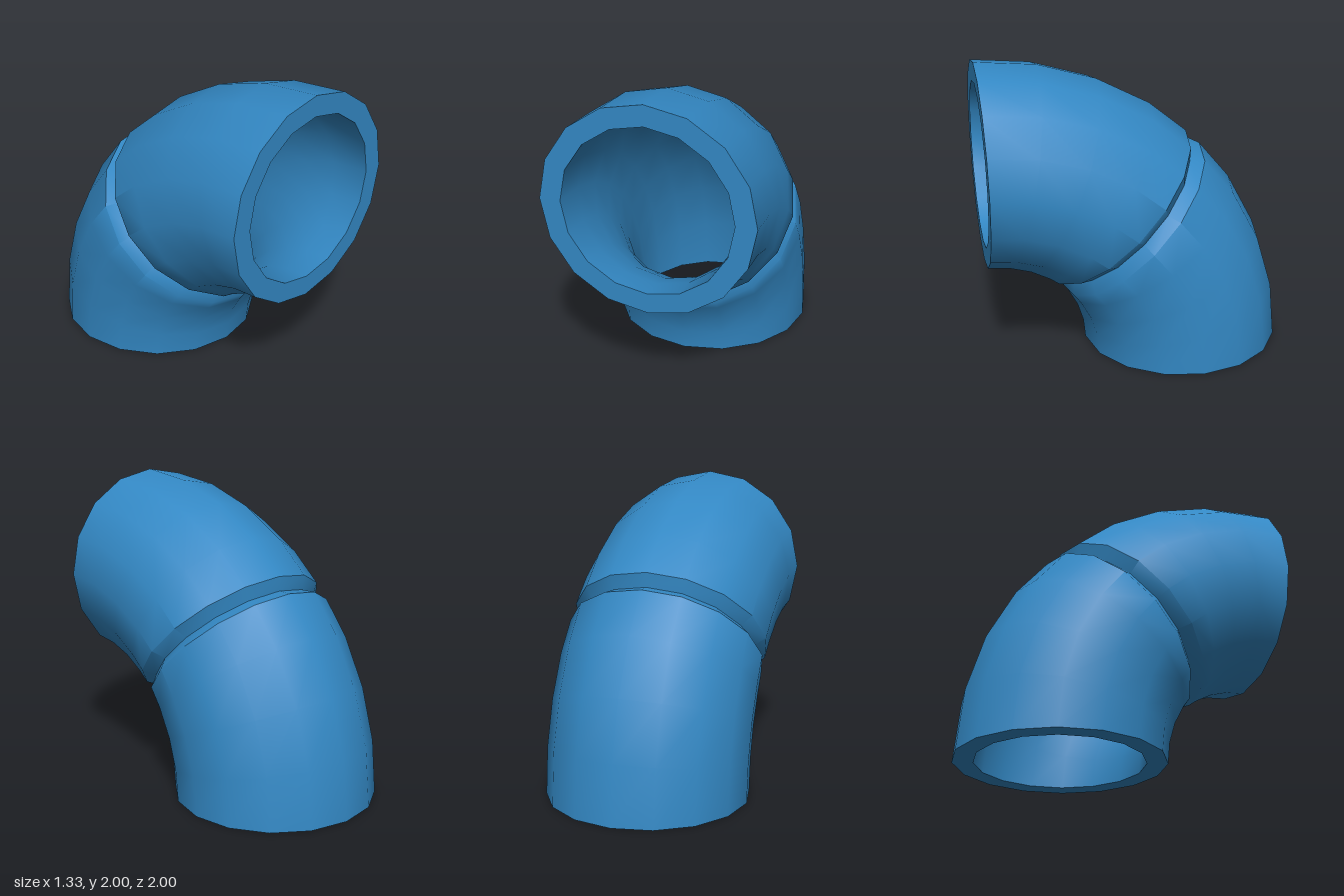
import * as THREE from 'three';
import { toCreasedNormals } from 'three/addons/utils/BufferGeometryUtils.js';

const SIDES = 16, BEND = 4 / 3, OUTER = 2 / 3, INNER = 0.535;
const STEP = Math.PI / 16, MID = Math.PI / 4;

// A ring of the pipe: bend angle, tube radius, shift along the pipe, bend radius
const ring = (angle, radius, shift = 0, bend = BEND) => ({ angle, radius, shift, bend });

// Skin a row of rings; going up the bend faces outward, going down faces inward
function loft(rings) {
  const positions = [], index = [];
  rings.forEach(({ angle, radius, shift, bend }, i) => {
    const c = Math.cos(angle), s = Math.sin(angle);
    for (let j = 0; j < SIDES; j++) {
      const t = (j / SIDES) * Math.PI * 2;
      const out = bend + radius * Math.cos(t);
      positions.push(radius * Math.sin(t), out * s + shift * c, 1 - out * c + shift * s);
      if (i === rings.length - 1) continue;
      const k = (j + 1) % SIDES;
      const a = i * SIDES + j, b = i * SIDES + k;
      index.push(a, a + SIDES, b, b, a + SIDES, b + SIDES);
    }
  });
  const geometry = new THREE.BufferGeometry();
  geometry.setAttribute('position', new THREE.Float32BufferAttribute(positions, 3));
  geometry.setIndex(index);
  return toCreasedNormals(geometry, 0.8);
}

export function createModel() {
  const group = new THREE.Group();
  group.name = 'pipeElbow';
  const blue = new THREE.MeshStandardMaterial({ color: 0x3388c4 });
  blue.name = 'pipe blue';

  const add = (name, rings) => {
    const mesh = new THREE.Mesh(loft(rings), blue);
    mesh.name = name;
    group.add(mesh);
  };

  // Outer wall with a V groove halfway round the bend
  const wall = [];
  for (let i = 0; i < 4; i++) wall.push(ring(i * STEP, OUTER));
  wall.push(ring(MID, 0.664, -0.067, 1.328));
  wall.push(ring(MID, 0.595, 0, 1.329));
  wall.push(ring(MID, 0.664, 0.067, 1.328));
  for (let i = 5; i <= 8; i++) wall.push(ring(i * STEP, OUTER));
  add('outerWall', wall);

  // Bore, skinned in reverse so that it faces inward
  const bore = [];
  for (let i = 8; i >= 0; i--) bore.push(ring(i * STEP, INNER));
  add('bore', bore);

  // Flat rims at both openings
  add('frontRim', [ring(8 * STEP, OUTER), ring(8 * STEP, INNER)]);
  add('bottomRim', [ring(0, INNER), ring(0, OUTER)]);

  return group;
}
